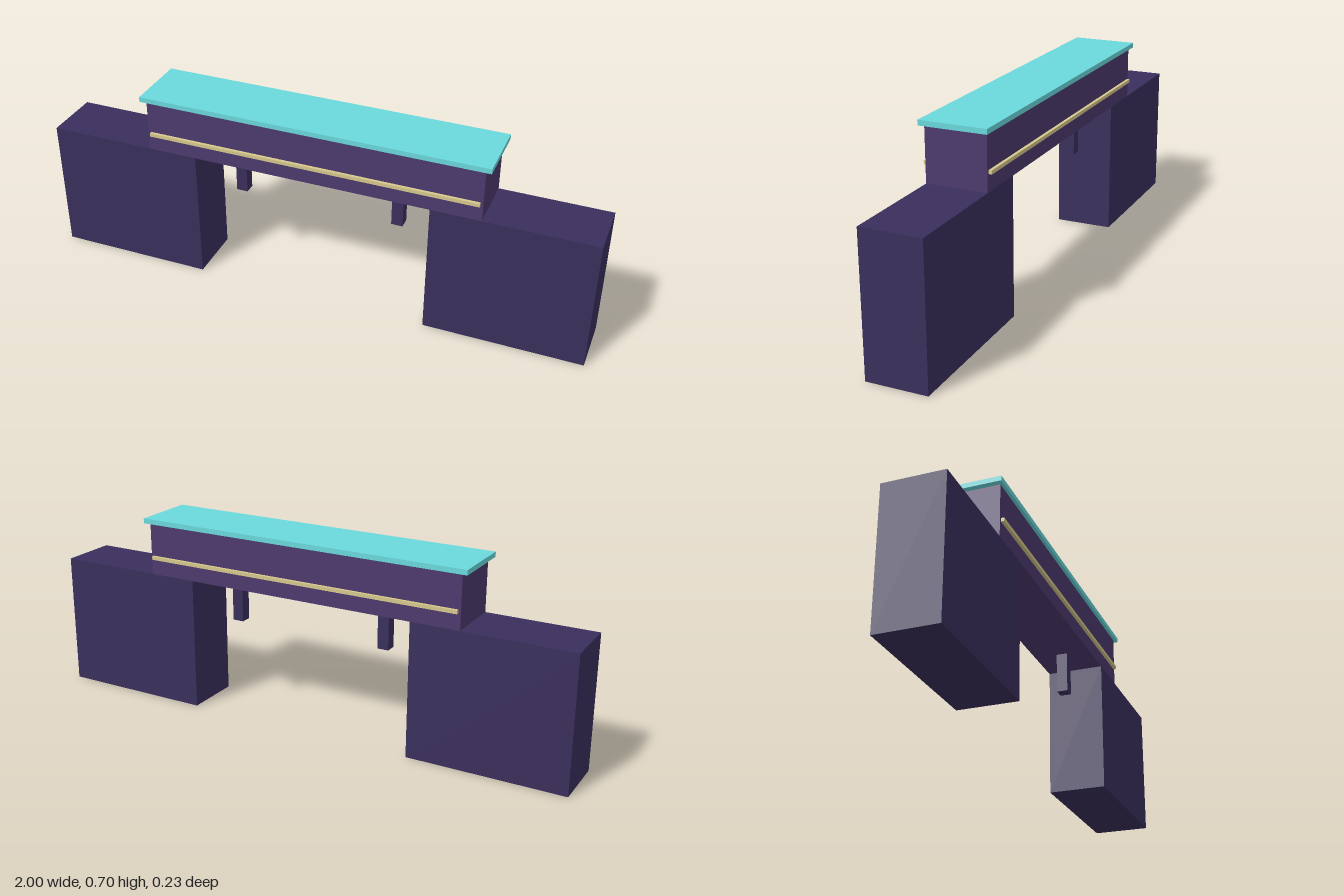
import * as THREE from 'three';

export function createModel() {
  const model = new THREE.Group();
  model.name = 'bridge';

  const stone = new THREE.MeshStandardMaterial({ color: 0x3a2f5c });
  const wall = new THREE.MeshStandardMaterial({ color: 0x4d396e });
  const cyan = new THREE.MeshStandardMaterial({ color: 0x6ad8dc });
  const trim = new THREE.MeshStandardMaterial({ color: 0xd6c88c });

  // Box centred on x and z, spanning bottom to top in y
  function addBox(name, material, width, bottom, top, depth, x = 0, z = 0) {
    const mesh = new THREE.Mesh(new THREE.BoxGeometry(width, top - bottom, depth), material);
    mesh.name = name;
    mesh.position.set(x, (bottom + top) / 2, z);
    model.add(mesh);
  }

  // Span and its overhanging deck
  addBox('span', wall, 1.216, 0.488, 0.679, 0.212);
  addBox('deck', cyan, 1.257, 0.679, 0.697, 0.235);

  for (const side of [-1, 1]) {
    const label = side > 0 ? 'left' : 'right';
    // End blocks and the short posts hanging below the span
    addBox(label + 'Abutment', stone, 0.569, 0, 0.488, 0.212, side * 0.7155);
    addBox(label + 'Post', stone, 0.041, 0.336, 0.488, 0.041, side * 0.294);
    // Trim strip along the front and the back of the span
    addBox(side > 0 ? 'frontTrim' : 'backTrim', trim, 1.198, 0.546, 0.559, 0.011, 0, side * 0.1115);
  }

  return model;
}
